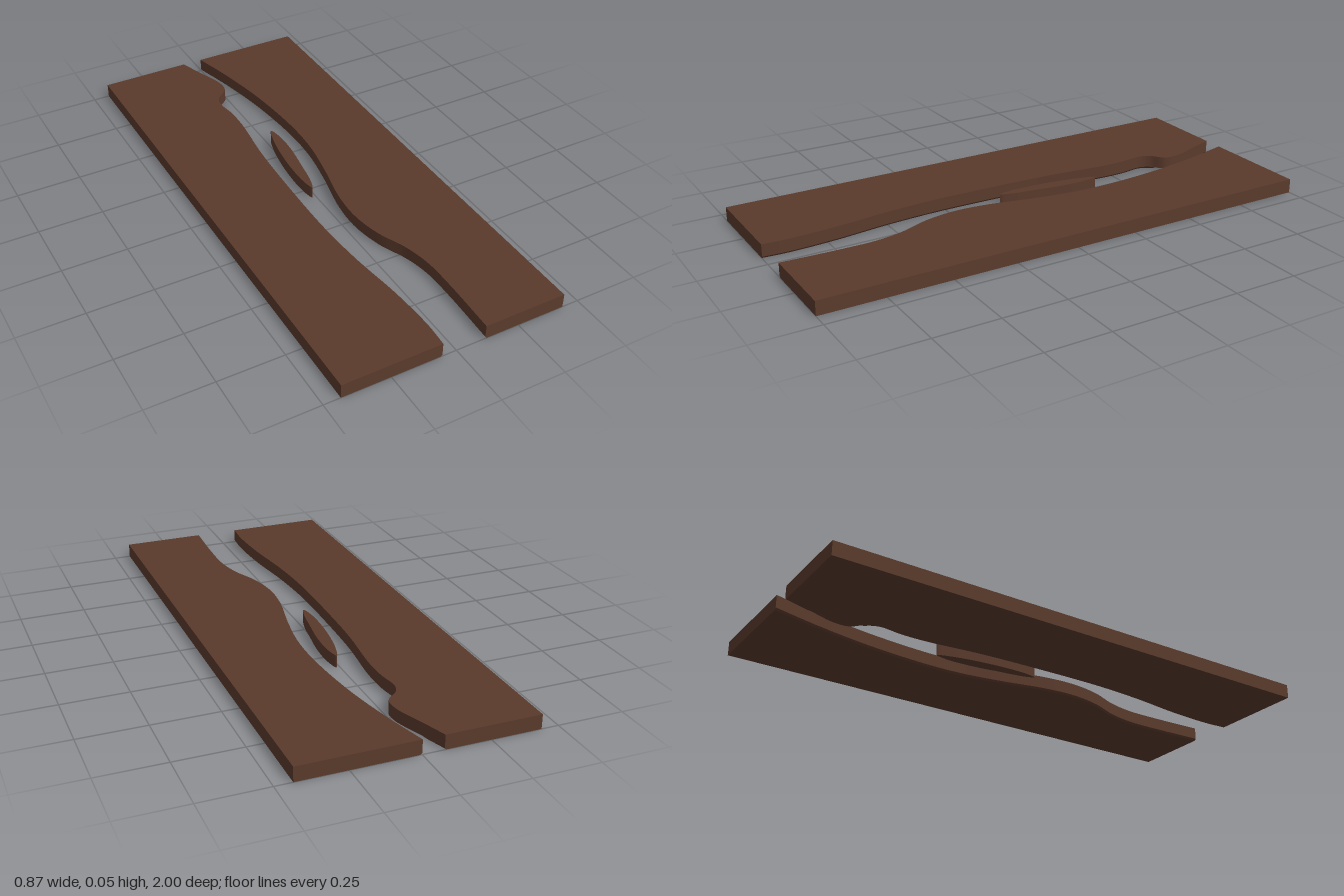
import * as THREE from 'three';
import { toCreasedNormals } from 'three/addons/utils/BufferGeometryUtils.js';

const HEIGHT = 0.055, LIP = 0.007, OUTER = 0.436;

// live edges as [x, z], running back to front
const leftEdge = [[-0.08, -1], [-0.05, -0.91], [-0.008, -0.785], [-0.012, -0.725], [-0.06, -0.68], [-0.075, -0.64],
  [-0.065, -0.55], [-0.065, -0.45], [-0.087, -0.235], [-0.097, 0], [-0.1, 0.29], [-0.087, 0.5], [-0.06, 0.72],
  [-0.05, 0.9], [-0.055, 1]];
const rightEdge = [[0, -1], [0.045, -0.82], [0.085, -0.6], [0.107, -0.34], [0.102, -0.18], [0.077, -0.02],
  [0.04, 0.16], [0.033, 0.29], [0.055, 0.415], [0.1, 0.53], [0.122, 0.64], [0.124, 0.77], [0.115, 1]];
const islandOutline = [[0.018, -0.355], [0.03, -0.3], [0.028, -0.2], [0.013, -0.09], [-0.005, 0.02], [-0.02, 0.06],
  [-0.03, 0.02], [-0.032, -0.07], [-0.022, -0.19], [-0.002, -0.3]];

// smooth curve through [x, z] points, as shape points (shape y is -z)
function smooth(points, closed, count) {
  const curve = new THREE.CatmullRomCurve3(points.map(([x, z]) => new THREE.Vector3(x, -z, 0)), closed);
  return curve.getPoints(count).map(p => new THREE.Vector2(p.x, p.y));
}

// slab with one live edge, undercut slightly along its bottom
function slabGeometry(edge, side) {
  const outline = [...smooth(edge, false, 90), new THREE.Vector2(side * OUTER, -1), new THREE.Vector2(side * OUTER, 1)];
  const geometry = new THREE.ExtrudeGeometry(new THREE.Shape(outline), { depth: HEIGHT, steps: 2, bevelEnabled: false });
  geometry.rotateX(-Math.PI / 2);
  const pos = geometry.attributes.position;
  for (let i = 0; i < pos.count; i++) {
    const x = pos.getX(i), y = pos.getY(i);
    if (y > 0.01 && y < HEIGHT - 0.01) pos.setY(i, LIP);
    if (y < 0.01 && Math.abs(x) < 0.3) {
      pos.setX(i, side < 0 ? Math.min(x - 0.006, -0.055) : x + 0.006);
    }
  }
  return toCreasedNormals(geometry, 0.5);
}

export function createModel() {
  const group = new THREE.Group();
  const wood = new THREE.MeshStandardMaterial({ color: 0x5a3a2c });
  wood.name = 'dark wood';

  const add = (name, geometry) => {
    const mesh = new THREE.Mesh(geometry, wood);
    mesh.name = name;
    group.add(mesh);
  };

  add('rightSlab', slabGeometry(leftEdge, -1));
  add('leftSlab', slabGeometry(rightEdge, 1));

  // small loose sliver in the gap
  const island = new THREE.ExtrudeGeometry(new THREE.Shape(smooth(islandOutline, true, 60).slice(0, -1)),
    { depth: HEIGHT - LIP, bevelEnabled: false });
  island.rotateX(-Math.PI / 2).translate(0, LIP, 0);
  add('islandSliver', toCreasedNormals(island, 0.6));

  return group;
}
